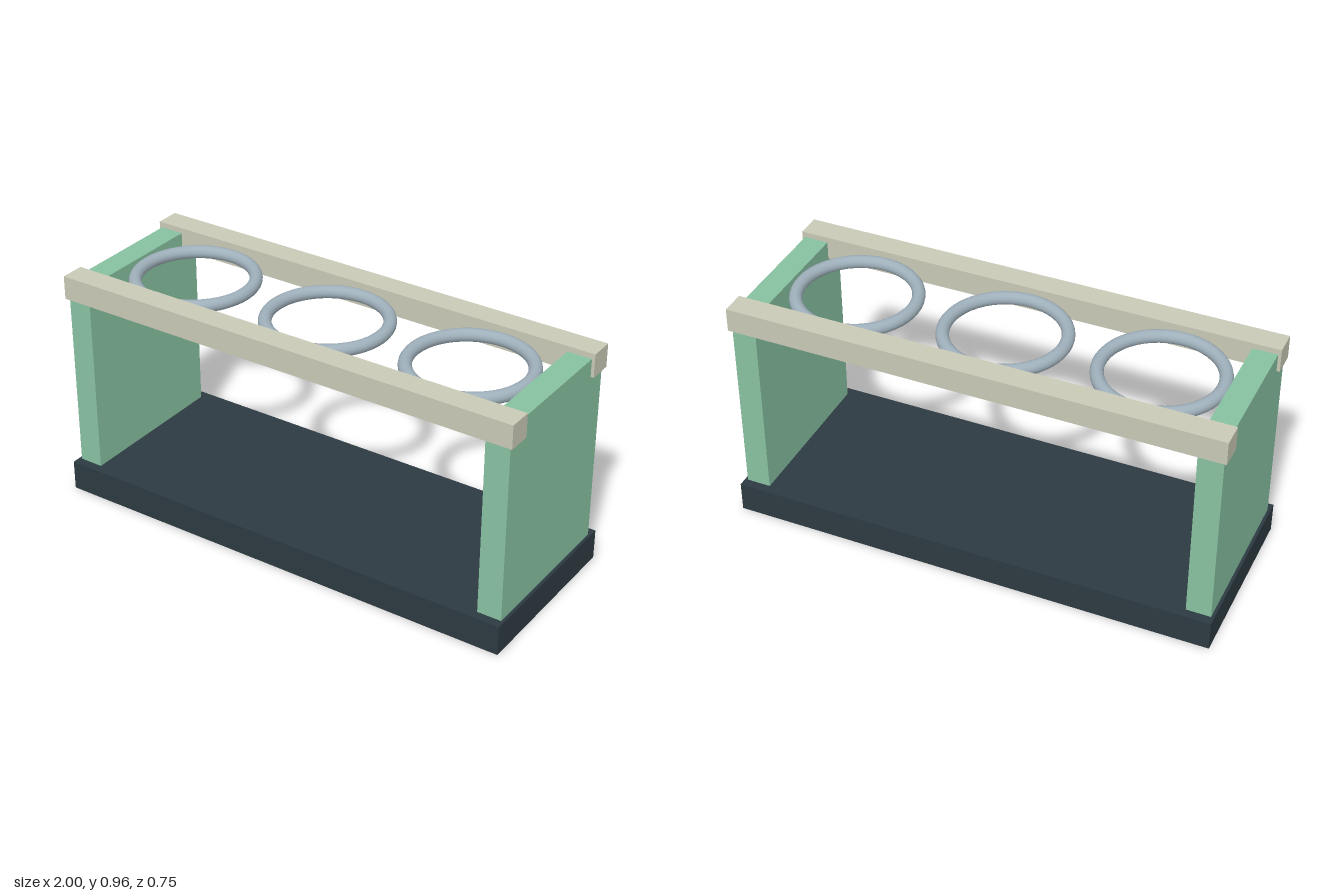
import * as THREE from 'three';

function material(name, color) {
  const m = new THREE.MeshStandardMaterial({ color });
  m.name = name;
  return m;
}

export function createModel() {
  const model = new THREE.Group();
  model.name = 'ringRack';

  const slate = material('dark slate', 0x2d3a41);
  const green = material('soft green', 0x88c1a1);
  const stone = material('pale stone', 0xc8c9b6);
  const steel = material('blue grey steel', 0x9fb0bb);

  function add(name, geometry, mat, x, y, z) {
    const mesh = new THREE.Mesh(geometry, mat);
    mesh.name = name;
    mesh.position.set(x, y, z);
    model.add(mesh);
  }

  // Base slab
  add('base', new THREE.BoxGeometry(2, 0.125, 0.75), slate, 0, 0.0625, 0);

  // Upright end panels, set slightly in from the base edge
  const panel = new THREE.BoxGeometry(0.1, 0.815, 0.675);
  add('leftPanel', panel, green, 0.9375, 0.5325, 0);
  add('rightPanel', panel, green, -0.9375, 0.5325, 0);

  // Long rails notched over the panels' top corners
  const rail = new THREE.BoxGeometry(2, 0.0975, 0.1);
  add('frontRail', rail, stone, 0, 0.9137, 0.3);
  add('backRail', rail, stone, 0, 0.9137, -0.3);

  // Three holding rings lying flat between the rails
  const ring = new THREE.TorusGeometry(0.2375, 0.026, 16, 48).rotateX(Math.PI / 2);
  ['rightRing', 'middleRing', 'leftRing'].forEach((name, i) => {
    add(name, ring, steel, (i - 1) * 0.625, 0.9137, 0);
  });

  return model;
}
